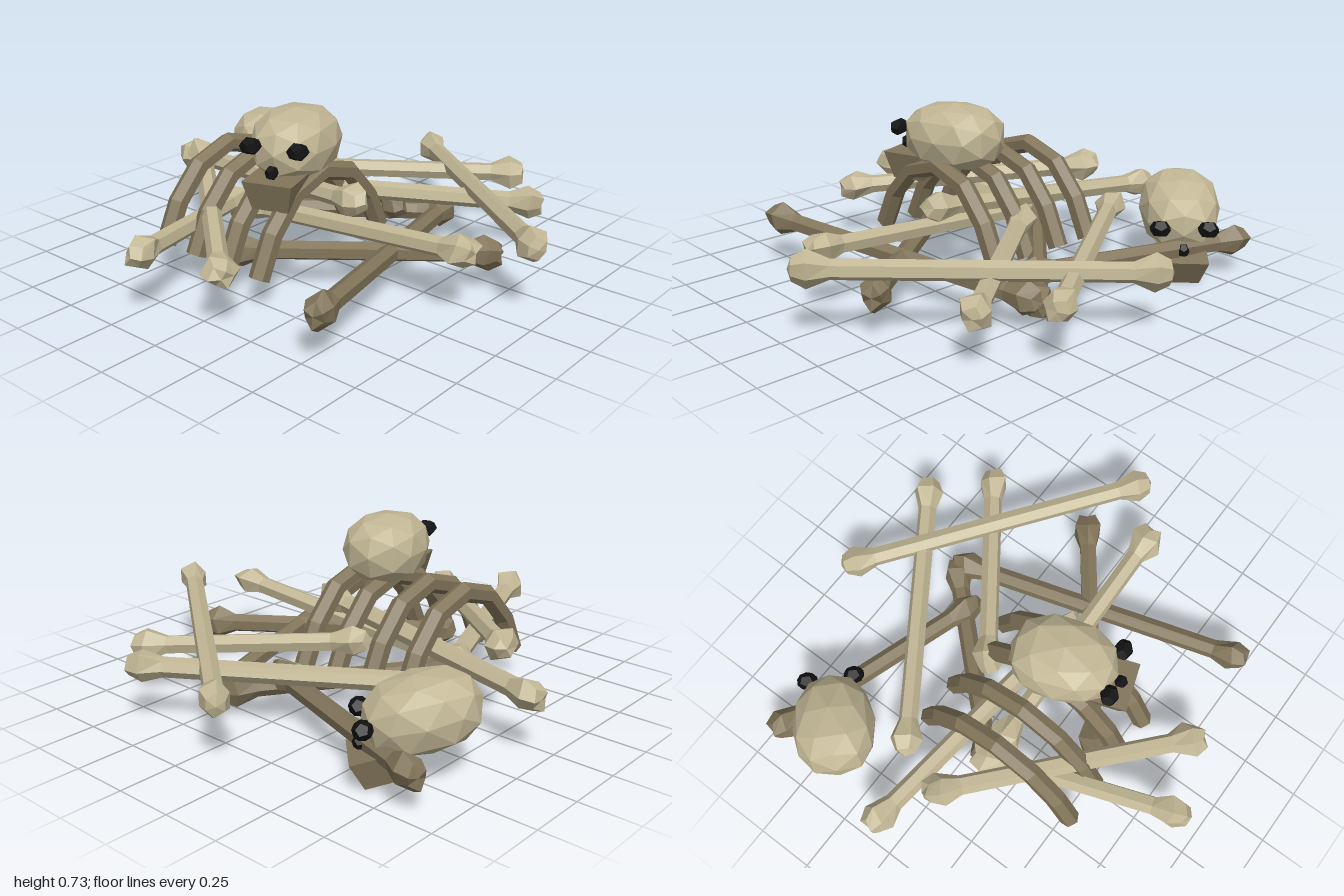
import * as THREE from 'three';

export function createModel() {
  const model = new THREE.Group();
  model.name = 'bonePile';

  const mat = (name, color) => {
    const m = new THREE.MeshStandardMaterial({ color, flatShading: true });
    m.name = name;
    return m;
  };
  const pale = mat('paleBone', 0xc2b795);
  const aged = mat('agedBone', 0x82755a);
  const dark = mat('socketBlack', 0x111111);

  const add = (parent, name, geo, material, x = 0, y = 0, z = 0) => {
    const mesh = new THREE.Mesh(geo, material);
    mesh.name = name;
    mesh.position.set(x, y, z);
    parent.add(mesh);
    return mesh;
  };

  // Long bone: six-sided shaft flaring into uneven knobs at both ends
  const bone = (name, a, b, material, spin) => {
    const start = new THREE.Vector3(...a);
    const dir = new THREE.Vector3(...b).sub(start);
    const L = dir.length();
    const end = [[0, -0.055], [0.045, -0.04], [0.07, 0.015], [0.041, 0.1]];
    const profile = [
      ...end.map(([r, h]) => new THREE.Vector2(r, h)),
      ...end.slice().reverse().map(([r, h]) => new THREE.Vector2(r, L - h)),
    ];
    const geo = new THREE.LatheGeometry(profile, 6);
    geo.rotateY(spin);
    const p = geo.attributes.position;
    for (let i = 0; i < p.count; i++) {
      const y = p.getY(i);
      if (y > 0.05 && y < L - 0.05) continue;
      const angle = Math.atan2(p.getX(i), p.getZ(i));
      const k = 1 + 0.14 * Math.sin(2 * angle + spin * 3 + y * 5);
      p.setXYZ(i, p.getX(i) * k, y + 0.012 * Math.sin(angle * 3 + spin), p.getZ(i) * k);
    }
    const mesh = add(model, name, geo, material, ...a);
    mesh.quaternion.setFromUnitVectors(new THREE.Vector3(0, 1, 0), dir.normalize());
  };

  // Upper layer of pale bones, lower layer of aged bones
  const paleBones = [
    [[-0.11, 0.23, -0.89], [0.94, 0.28, -0.08]],
    [[0.38, 0.22, -0.85], [-0.61, 0.21, -0.19]],
    [[0.6, 0.19, -0.65], [-0.12, 0.24, -0.13]],
    [[-0.94, 0.22, -0.08], [0.19, 0.31, 0.07]],
    [[0.75, 0.26, 0.1], [-0.35, 0.17, 0.12]],
    [[-0.71, 0.32, 0.06], [0.12, 0.22, 0.77]],
    [[-0.19, 0.25, 0.89], [-0.45, 0.17, 0.1]],
  ];
  const agedBones = [
    [[0.55, 0.18, 0.71], [0.22, 0.1, -0.53]],
    [[0.69, 0.14, -0.18], [-0.13, 0.13, 0.44]],
    [[-0.86, 0.12, -0.69], [0.06, 0.12, -0.38]],
    [[0.18, 0.075, -0.54], [-0.43, 0.14, 0.1]],
  ];
  paleBones.forEach(([a, b], i) => bone('paleLongBone' + (i + 1), a, b, pale, i * 0.7));
  agedBones.forEach(([a, b], i) => bone('agedLongBone' + (i + 1), a, b, aged, i * 0.9 + 0.3));

  // Rib cage: four hexagonal bars bent into the same arch
  const arch = [[0.54, 0.1], [0.45, 0.28], [0.31, 0.41], [0.16, 0.45], [0.01, 0.41], [-0.12, 0.28], [-0.21, 0.1]];
  const path = new THREE.CatmullRomCurve3(arch.map(([z, y]) => new THREE.Vector3(0, y, z)));
  const section = new THREE.Shape(
    Array.from({ length: 6 }, (_, i) => {
      const t = ((i + 0.5) * Math.PI) / 3;
      return new THREE.Vector2(0.043 * Math.cos(t), 0.043 * Math.sin(t));
    })
  );
  const ribGeo = new THREE.ExtrudeGeometry(section, { steps: 6, extrudePath: path });
  [-0.44, -0.26, -0.08, 0.095].forEach((x, i) => add(model, 'rib' + (i + 1), ribGeo, aged, x));

  // Skull facing +z locally, with its cranium centred on the origin
  const skull = (name, position, yaw, pitch) => {
    const g = new THREE.Group();
    g.name = name;
    g.position.set(...position);
    g.rotation.set(pitch, yaw, 0, 'YXZ');
    model.add(g);

    // Squared-off faceted cranium, flatter below and narrower at the face
    const cranium = new THREE.IcosahedronGeometry(1, 1);
    const p = cranium.attributes.position;
    const square = (v) => Math.sign(v) * Math.pow(Math.abs(v), 0.85);
    for (let i = 0; i < p.count; i++) {
      const x = square(p.getX(i)), y = square(p.getY(i)), z = square(p.getZ(i));
      const narrow = 1 - 0.1 * Math.max(z, 0);
      p.setXYZ(i, x * 0.175 * narrow, y > 0 ? y * 0.14 : Math.max(y, -0.8) * 0.155, z * 0.225);
    }
    add(g, 'cranium', cranium, pale);

    // Tapered jaw
    const jaw = new THREE.BoxGeometry(0.21, 0.12, 0.2);
    const j = jaw.attributes.position;
    for (let i = 0; i < j.count; i++) {
      if (j.getY(i) < 0) j.setXYZ(i, j.getX(i) * 0.72, j.getY(i), j.getZ(i) * 0.7);
    }
    add(g, 'jaw', jaw, aged, 0, -0.15, 0.195);

    // Eye sockets and nose
    const lump = new THREE.DodecahedronGeometry(1, 0);
    for (const s of [-1, 1]) {
      add(g, s > 0 ? 'leftEye' : 'rightEye', lump, dark, s * 0.1, 0.03, 0.215).scale.set(0.046, 0.037, 0.04);
    }
    add(g, 'nose', lump, dark, 0, -0.06, 0.24).scale.set(0.027, 0.03, 0.03);
  };
  skull('topSkull', [-0.02, 0.56, 0.19], 0.33, 0);
  skull('fallenSkull', [-0.735, 0.24, -0.475], Math.PI * 0.75, 0.25);

  return model;
}
